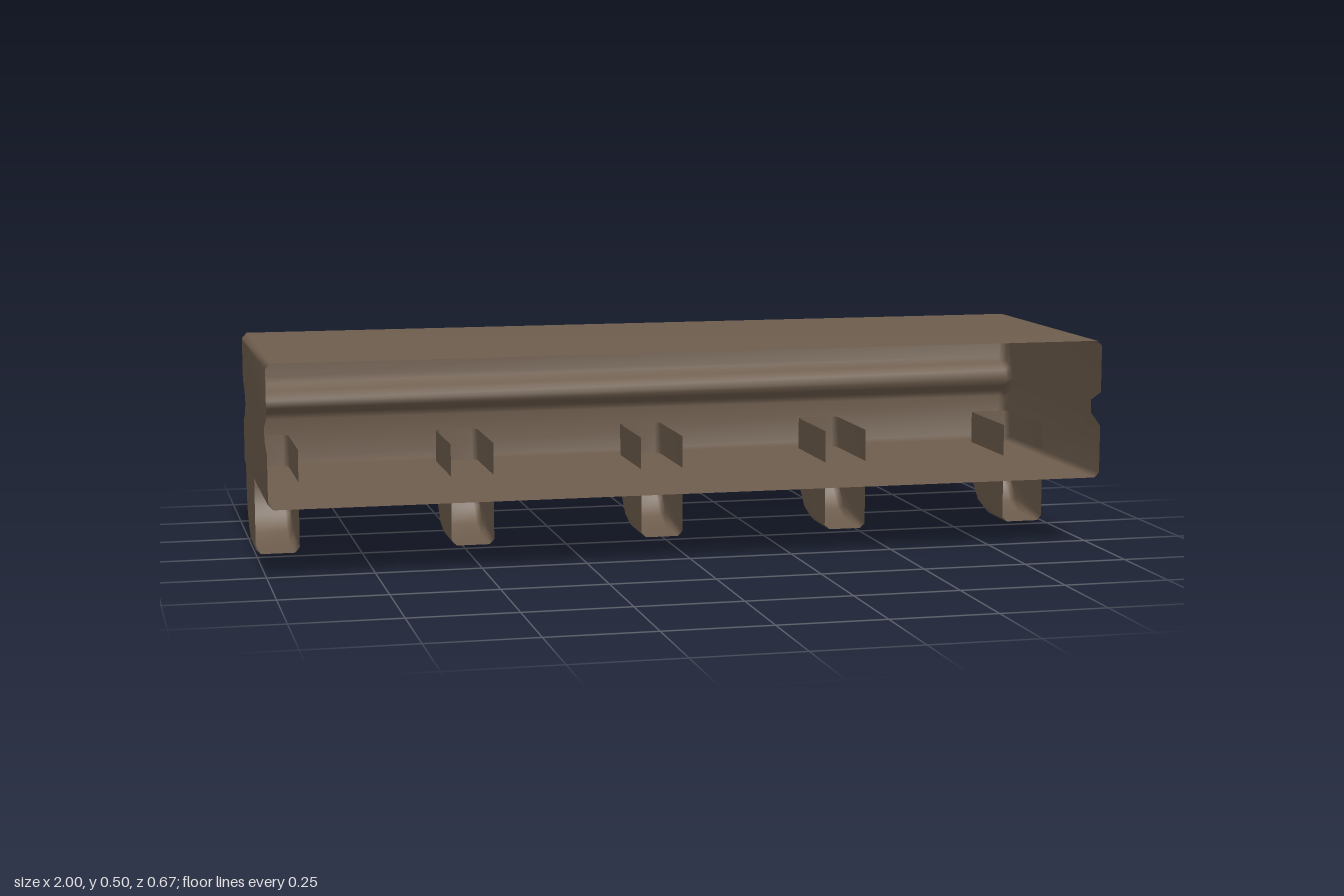
import * as THREE from 'three';

const BEVEL = 0.012;

// Moves an open [z, y] profile inward, mitring its corners.
function inset(profile, d) {
  const normals = profile.slice(1).map((p, i) => {
    const dz = p[0] - profile[i][0], dy = p[1] - profile[i][1];
    const l = Math.hypot(dz, dy);
    return [dy / l, -dz / l];
  });
  return profile.map((p, i) => {
    const a = normals[Math.max(i - 1, 0)];
    const b = normals[Math.min(i, normals.length - 1)];
    const k = d / (1 + a[0] * b[0] + a[1] * b[1]);
    return [p[0] - (a[0] + b[0]) * k, p[1] - (a[1] + b[1]) * k];
  });
}

// Open-fronted shell: a profile swept along x with bevelled ends and closed
// end caps. capExtra holds the points that complete the cap outline.
function sweptShell(profile, capExtra, x0, x1) {
  const small = inset(profile, BEVEL);
  const rings = [[x0, small], [x0 + BEVEL, profile], [x1 - BEVEL, profile], [x1, small]];
  const pos = [], index = [], n = profile.length;
  for (const [x, ring] of rings) for (const [z, y] of ring) pos.push(x, y, z);
  for (let r = 0; r < 3; r++) {
    for (let i = 0; i < n - 1; i++) {
      const a = r * n + i, b = a + n;
      index.push(a, b, a + 1, b, b + 1, a + 1);
    }
  }
  const outline = [...small, ...capExtra].map(([z, y]) => new THREE.Vector2(z, y));
  const tris = THREE.ShapeUtils.triangulateShape(outline, []);
  for (const [x, start, side] of [[x0, 0, -1], [x1, 3 * n, 1]]) {
    const extra = pos.length / 3;
    for (const [z, y] of capExtra) pos.push(x, y, z);
    const id = (i) => (i < n ? start + i : extra + i - n);
    for (const [a, b, c] of tris) {
      const ab = outline[b].clone().sub(outline[a]);
      const ac = outline[c].clone().sub(outline[a]);
      // A counter-clockwise turn in (z, y) faces -x
      if (ab.cross(ac) * side < 0) index.push(id(a), id(b), id(c));
      else index.push(id(a), id(c), id(b));
    }
  }
  const g = new THREE.BufferGeometry();
  g.setAttribute('position', new THREE.Float32BufferAttribute(pos, 3));
  g.setIndex(index);
  g.computeVertexNormals();
  return g;
}

export function createModel() {
  const model = new THREE.Group();
  model.name = 'corniceMoulding';
  const brown = new THREE.MeshStandardMaterial({ color: 0x6e5d4d, side: THREE.DoubleSide });
  brown.name = 'brown';

  // Main beam: top, grooved back and floor
  const beamProfile = [
    [0.333, 0.504], [-0.321, 0.504], [-0.333, 0.491], [-0.333, 0.39],
    [-0.321, 0.375], [-0.286, 0.359], [-0.272, 0.338], [-0.286, 0.317],
    [-0.321, 0.301], [-0.333, 0.284], [-0.333, 0.184], [-0.321, 0.171], [0.333, 0.171],
  ];
  // Notch in the front edge of the beam's end caps
  const frontNotch = [[0.333, 0.297], [0.273, 0.322], [0.273, 0.353], [0.333, 0.379]];
  const beam = new THREE.Mesh(sweptShell(beamProfile, frontNotch, -1, 1), brown);
  beam.name = 'beam';
  model.add(beam);

  // Row of rounded corbels, reaching up inside the beam
  const corbelProfile = [
    [-0.293, 0.25], [-0.293, 0.123], [-0.28, 0.077], [-0.268, 0.054],
    [-0.23, 0.018], [-0.17, 0], [-0.041, 0],
  ];
  const corbelGeometry = sweptShell(corbelProfile, [[-0.041, 0.25]], -0.0525, 0.0525);
  for (let i = -2; i <= 2; i++) {
    const corbel = new THREE.Mesh(corbelGeometry, brown);
    corbel.name = 'corbel' + (i + 3);
    corbel.position.x = i * 0.47375;
    model.add(corbel);
  }
  return model;
}
